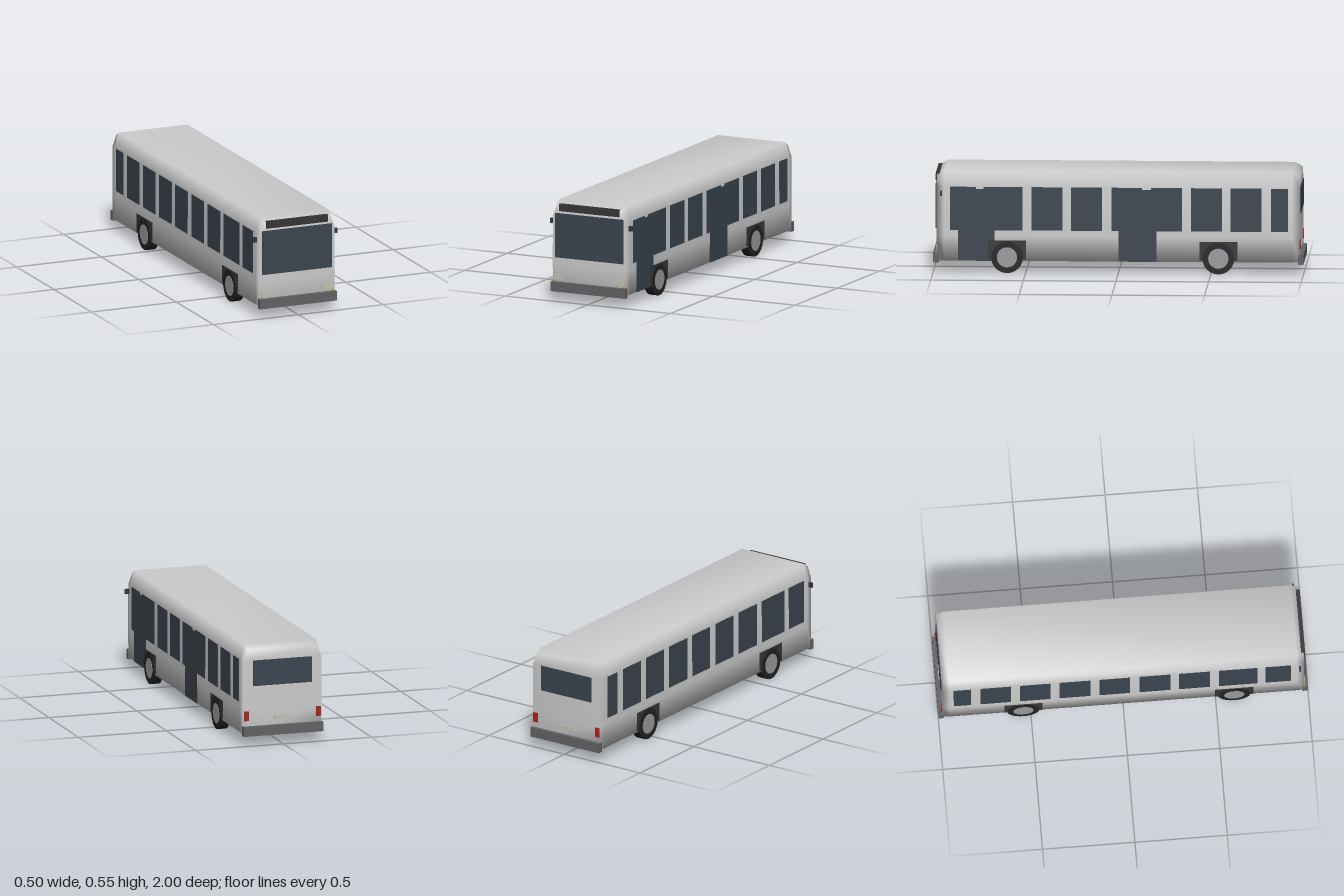
import * as THREE from 'three';

const mat = (color) => new THREE.MeshStandardMaterial({ color });
const paint = mat(0xcccccc);
const glass = mat(0x3a444e);
const dark = mat(0x363636);
const tyreMat = mat(0x222222);
const hubMat = mat(0x9a9a9f);
const bumperMat = mat(0x626265);
const lampMat = mat(0xc4c0b4);
const amber = mat(0xc88a20);
const red = mat(0xa82418);

// Box given by its extents along each axis
function box(name, material, [x0, x1], [y0, y1], [z0, z1]) {
  const mesh = new THREE.Mesh(new THREE.BoxGeometry(x1 - x0, y1 - y0, z1 - z0), material);
  mesh.position.set((x0 + x1) / 2, (y0 + y1) / 2, (z0 + z1) / 2);
  mesh.name = name;
  return mesh;
}

// Smooth shell lofted from front to back, with tapered roof ends
function bodyGeometry() {
  const full = [[0.224, 0.066], [0.227, 0.2], [0.226, 0.468], [0.203, 0.552]];
  const end = [[0.221, 0.066], [0.223, 0.2], [0.222, 0.468], [0.2, 0.527]];
  const sections = [[0.98, end], [0.94, full], [-0.94, full], [-0.98, end]];
  const positions = [];
  const index = [];
  for (const [z, half] of sections) {
    for (const [x, y] of half) positions.push(x, y, z);
    for (const [x, y] of [...half].reverse()) positions.push(-x, y, z);
  }
  const n = 8;
  for (let s = 0; s < sections.length - 1; s++) {
    for (let i = 0; i < n; i++) {
      const a = s * n + i, b = s * n + (i + 1) % n;
      index.push(a, a + n, b, b, a + n, b + n);
    }
  }
  // End caps, strips between mirrored points
  const last = (sections.length - 1) * n;
  for (let i = 0; i < 3; i++) {
    const r0 = i, r1 = i + 1, l0 = 7 - i, l1 = 6 - i;
    index.push(r0, r1, l1, r0, l1, l0);
    index.push(last + r0, last + l1, last + r1, last + r0, last + l0, last + l1);
  }
  const geo = new THREE.BufferGeometry();
  geo.setAttribute('position', new THREE.Float32BufferAttribute(positions, 3));
  geo.setIndex(index);
  geo.computeVertexNormals();
  return geo;
}

function wheel(side, z) {
  const group = new THREE.Group();
  group.name = 'wheel';
  const disc = (name, r, width, x, material) => {
    const mesh = new THREE.Mesh(new THREE.CylinderGeometry(r, r, width, 24), material);
    mesh.rotation.z = Math.PI / 2;
    mesh.position.x = side * x;
    mesh.name = name;
    group.add(mesh);
  };
  disc('tyre', 0.086, 0.049, 0.2055, tyreMat);
  disc('hub', 0.055, 0.02, 0.2215, hubMat);
  group.position.set(0, 0.086, z);
  return group;
}

export function createModel() {
  const bus = new THREE.Group();
  bus.name = 'bus';

  const body = new THREE.Mesh(bodyGeometry(), paint);
  body.name = 'body';
  bus.add(body);

  // Extents on one side, mirrored for the other
  const flank = (side, a, b) => (side > 0 ? [a, b] : [-b, -a]);
  const windows = [
    [0.768, 0.908], [0.517, 0.726], [0.3, 0.469], [0.086, 0.254], [-0.13, 0.035],
    [-0.345, -0.178], [-0.56, -0.394], [-0.774, -0.608], [-0.918, -0.825],
  ];
  for (const side of [1, -1]) {
    for (const z of windows) {
      bus.add(box('sideWindow', glass, flank(side, 0.215, 0.2278), [0.233, 0.469], z));
    }
    for (const z of [0.6, -0.541]) {
      bus.add(box('wheelArch', dark, flank(side, 0.2, 0.2285), [0.075, 0.177], [z - 0.103, z + 0.103]));
      bus.add(wheel(side, z));
    }
    bus.add(box('mirror', dark, flank(side, 0.226, 0.249), [0.42, 0.448], [0.951, 0.96]));
    bus.add(box('headlight', lampMat, flank(side, 0.152, 0.212), [0.121, 0.148], [0.97, 0.985]));
    bus.add(box('turnSignal', amber, flank(side, 0.205, 0.219), [0.107, 0.113], [0.97, 0.986]));
    bus.add(box('tailLight', red, flank(side, 0.191, 0.219), [0.137, 0.19], [-0.985, -0.97]));
  }

  // Passenger doors on one side only
  for (const z of [[0.667, 0.865], [-0.206, -0.003]]) {
    bus.add(box('door', glass, [0.215, 0.2282], [0.066, 0.458], z));
  }

  // Front and rear fittings
  bus.add(box('windshield', glass, [-0.205, 0.205], [0.24, 0.484], [0.97, 0.986]));
  bus.add(box('destinationSign', dark, [-0.181, 0.181], [0.497, 0.536], [0.96, 0.987]));
  bus.add(box('rearWindow', glass, [-0.166, 0.166], [0.328, 0.469], [-0.985, -0.97]));
  bus.add(box('licensePlate', lampMat, [-0.044, 0.044], [0.136, 0.159], [-0.984, -0.97]));
  bus.add(box('frontBumper', bumperMat, [-0.226, 0.226], [0.054, 0.107], [0.97, 1]));
  bus.add(box('rearBumper', bumperMat, [-0.226, 0.226], [0.054, 0.107], [-1, -0.97]));

  return bus;
}
